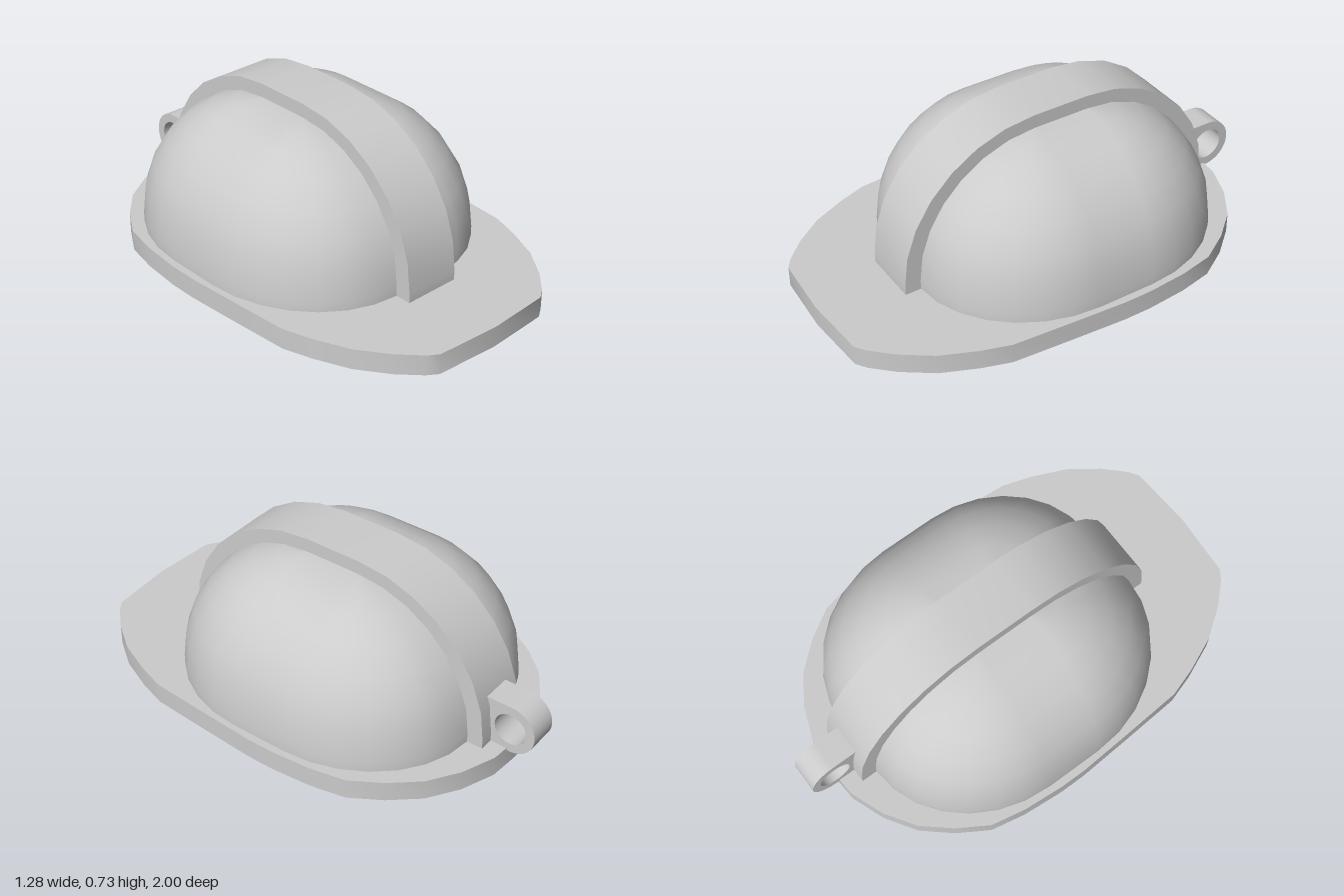
import * as THREE from 'three';
import { toCreasedNormals } from 'three/addons/utils/BufferGeometryUtils.js';

const ZC = -0.07;      // middle of the dome along z
const SEG = 7;         // steps per quarter round
const BRIM_H = 0.09;

// Crown skins: half width of ridge and flat inserts, dome radii, dome and ridge
// heights above the spring line, ridge radius, and where the skin starts
const OUTER = { flat: 0.126, rx: 0.482, rz: 0.54, domeH: 0.535, ridgeH: 0.595, ridgeR: 0.61,
  spring: 0.13, base: 0.09 };
const INNER = { ...OUTER, spring: 0.06, base: 0 };
for (const key of ['flat', 'rx', 'rz', 'domeH', 'ridgeH', 'ridgeR']) INNER[key] *= 0.885;

const material = new THREE.MeshStandardMaterial({ color: 0xcccccc });
const thin = new THREE.MeshStandardMaterial({ color: 0xcccccc, side: THREE.DoubleSide });

function part(name, geometry, mat = material) {
  const mesh = new THREE.Mesh(geometry, mat);
  mesh.name = name;
  return mesh;
}

// Smooth surface through rows of equally many points
function loft(rows) {
  const n = rows[0].length, index = [];
  for (let i = 0; i < rows.length - 1; i++) {
    for (let j = 0; j < n - 1; j++) {
      const a = i * n + j, c = a + n;
      index.push(a, a + 1, c, a + 1, c + 1, c);
    }
  }
  const g = new THREE.BufferGeometry();
  g.setAttribute('position', new THREE.Float32BufferAttribute(rows.flat(2), 3));
  g.setIndex(index);
  g.computeVertexNormals();
  return g;
}

// Lengthwise arch from front to back as [z, y], relative to the dome middle
function arch({ flat, spring, base }, radius, height) {
  const front = [[flat + radius, base]];
  for (let i = 0; i <= SEG; i++) {
    const t = (i / SEG) * Math.PI / 2;
    front.push([flat + radius * Math.cos(t), spring + height * Math.sin(t)]);
  }
  return [...front, ...front.map(([z, y]) => [-z, y]).reverse()];
}

// Half of the dome beside the ridge, on +x
function halfDome({ flat, rx, rz, domeH, spring, base }) {
  const rows = [];
  for (let i = -1; i <= SEG; i++) {
    const t = (Math.max(i, 0) / SEG) * Math.PI / 2;
    const y = i < 0 ? base : spring + domeH * Math.sin(t);
    const row = [];
    for (const s of [1, -1]) {
      for (let j = 0; j <= SEG; j++) {
        const k = s > 0 ? SEG - j : j;
        const p = (k / SEG) * Math.PI / 2;
        row.push([
          flat + rx * Math.cos(p) * Math.cos(t), y,
          s * (flat + rz * Math.sin(p) * Math.cos(t))]);
      }
    }
    rows.push(row);
  }
  return loft(rows);
}

// One skin of the crown: two half domes joined by the raised ridge
function skin(name, size) {
  const group = new THREE.Group();
  group.name = name;
  const { flat } = size;
  const low = arch(size, size.rz, size.domeH);
  const high = arch(size, size.ridgeR, size.ridgeH);
  const dome = halfDome(size);
  const wall = loft(high.map(([z, y], i) => [[flat, y, z], [flat, low[i][1], low[i][0]]]));
  // The crown is symmetric, so a half turn gives the other side
  for (const [side, turn] of [['left', 0], ['right', Math.PI]]) {
    const half = part(side + 'Dome', dome, thin);
    const ridgeWall = part(side + 'RidgeWall', wall, thin);
    half.rotation.y = ridgeWall.rotation.y = turn;
    group.add(half, ridgeWall);
  }
  group.add(part('ridge', loft(high.map(([z, y]) => [[-flat, y, z], [flat, y, z]])), thin));
  return group;
}

// Brim with a long peak and an opening that follows the inner skin
function brim() {
  const half = [[0, 1], [0.28, 0.982], [0.325, 0.952], [0.41, 0.865], [0.5, 0.74], [0.565, 0.59],
    [0.605, 0.465], [0.625, 0.19], [0.64, -0.04], [0.64, -0.16], [0.625, -0.34], [0.595, -0.49],
    [0.515, -0.62], [0.415, -0.735], [0.285, -0.82], [0.14, -0.875], [0, -0.885]];
  const loop = [...half, ...half.slice(1, -1).reverse().map(([x, z]) => [-x, z])];
  const shape = new THREE.Shape(loop.map(([x, z]) => new THREE.Vector2(x, -z)));

  const { flat, rx, rz, ridgeR } = INNER;
  const quarter = [[flat, flat + ridgeR]];
  for (let i = 0; i <= SEG; i++) {
    const p = (i / SEG) * Math.PI / 2;
    quarter.push([flat + rx * Math.sin(p), flat + rz * Math.cos(p)]);
  }
  const right = [...quarter, ...quarter.map(([x, z]) => [x, -z]).reverse()];
  const hole = [...right, ...right.map(([x, z]) => [-x, z]).reverse()];
  shape.holes.push(new THREE.Path(hole.map(([x, z]) => new THREE.Vector2(x, -(z + ZC)))));

  const g = new THREE.ExtrudeGeometry(shape, { depth: BRIM_H, bevelEnabled: false });
  g.rotateX(-Math.PI / 2);
  return toCreasedNormals(g, 0.6);
}

// Loop at the back, drawn in the side plane
function hangingLoop() {
  const s = new THREE.Shape();
  s.moveTo(0.805, 0.08);
  s.lineTo(0.89, 0.08);
  s.absarc(0.89, 0.19, 0.11, -Math.PI / 2, Math.PI / 2, false);
  s.lineTo(0.775, 0.3);
  s.lineTo(0.798, 0.2);
  s.closePath();
  const hole = new THREE.Path();
  hole.absarc(0.89, 0.19, 0.071, 0, Math.PI * 2, true);
  s.holes.push(hole);
  const g = new THREE.ExtrudeGeometry(s, { depth: 0.13, bevelEnabled: false, curveSegments: 20 });
  g.translate(0, 0, -0.065);
  g.rotateY(Math.PI / 2);
  return toCreasedNormals(g, 0.6);
}

export function createModel() {
  const model = new THREE.Group();
  model.name = 'helmet';

  const crown = new THREE.Group();
  crown.name = 'crown';
  crown.position.z = ZC;
  crown.add(skin('outerSkin', OUTER), skin('innerSkin', INNER));

  model.add(crown, part('brim', brim()), part('hangingLoop', hangingLoop()));
  return model;
}
